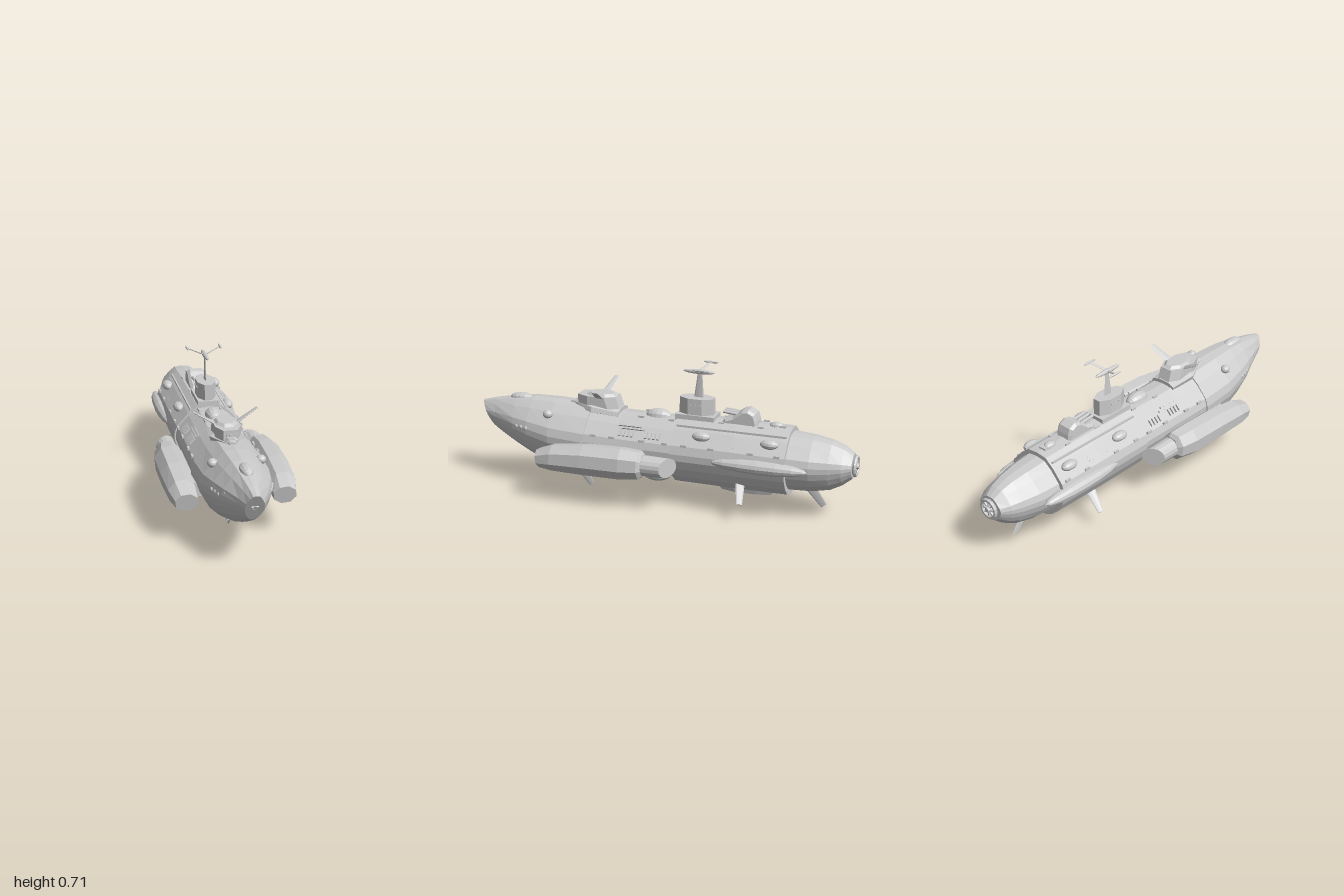
import * as THREE from 'three';

const material = new THREE.MeshStandardMaterial({ color: 0xcccccc, flatShading: true });

// Hull cross-section, right half from keel to deck: [fraction of half width, fraction of height]
const HALF = [[0, 0], [0.25, 0.02], [0.47, 0.07], [0.74, 0.19], [0.9, 0.33], [0.99, 0.46], [1, 0.56],
  [0.93, 0.68], [0.6, 0.87], [0.33, 0.98], [0, 1]];
const HULL = [...HALF, ...HALF.slice(1, -1).reverse().map(([x, y]) => [-x, y])];
const OCTAGON = Array.from({ length: 8 }, (_, i) => {
  const a = (i + 0.65) * Math.PI / 4;
  return [Math.cos(a), 0.5 + 0.5 * Math.sin(a)];
});

// Capped loft, front to back; section = [z, half width, bottom, top, slant, centre x]
function loft(shape, sections) {
  const n = shape.length, pos = [], index = [];
  for (const [z, hw, yb, yt, slant = 0, cx = 0] of sections) {
    for (const [u, v] of shape) pos.push(cx + u * hw, yb + v * (yt - yb), z - slant * (1 - v));
  }
  for (let i = 0; i < sections.length - 1; i++) {
    for (let j = 0; j < n; j++) {
      const a = i * n + j, b = i * n + (j + 1) % n, c = b + n, d = a + n;
      index.push(a, d, b, b, d, c);
    }
  }
  const last = (sections.length - 1) * n;
  for (let j = 1; j < n - 1; j++) index.push(0, j, j + 1, last, last + j + 1, last + j);
  const g = new THREE.BufferGeometry();
  g.setAttribute('position', new THREE.Float32BufferAttribute(pos, 3));
  g.setIndex(index);
  const flat = g.toNonIndexed();
  flat.computeVertexNormals();
  return flat;
}

export function createModel() {
  const model = new THREE.Group();
  model.name = 'submarineCruiser';

  const add = (name, geometry, x = 0, y = 0, z = 0, rotZ = 0, parent = model) => {
    const mesh = new THREE.Mesh(geometry, material);
    mesh.name = name;
    mesh.position.set(x, y, z);
    mesh.rotation.z = rotZ;
    parent.add(mesh);
    return mesh;
  };
  const box = (name, w, h, d, ...at) => add(name, new THREE.BoxGeometry(w, h, d), ...at);
  const dome = (name, rx, ry, rz, ...at) =>
    add(name, new THREE.SphereGeometry(1, 12, 8).rotateX(Math.PI / 2).scale(rx, ry, rz), ...at);
  // Tapered spar between two points, thin in x and wide in z
  const spar = (name, from, to, thick, chord, taper = 0.6) => {
    const a = new THREE.Vector3(...from), dir = new THREE.Vector3(...to).sub(a);
    const g = new THREE.CylinderGeometry(taper, 1, dir.length(), 8).scale(thick, 1, chord);
    const mesh = add(name, g);
    mesh.position.copy(a).addScaledVector(dir, 0.5);
    mesh.quaternion.setFromUnitVectors(new THREE.Vector3(0, 1, 0), dir.normalize());
    return mesh;
  };

  // Main hull in four stepped sections
  add('bowHull', loft(HULL, [
    [1, 0.045, 0.25, 0.397, 0.08], [0.93, 0.068, 0.22, 0.415, 0.06], [0.8, 0.115, 0.175, 0.437, 0.02],
    [0.7, 0.143, 0.138, 0.447], [0.57, 0.169, 0.097, 0.448], [0.37, 0.178, 0.09, 0.438]]));
  add('midHull', loft(HULL, [[0.38, 0.172, 0.11, 0.43], [0.2, 0.17, 0.11, 0.42], [-0.1, 0.17, 0.11, 0.42]]));
  add('rearHull', loft(HULL, [[-0.09, 0.177, 0.09, 0.435], [-0.4, 0.178, 0.088, 0.437], [-0.67, 0.175, 0.09, 0.43]]));
  add('tailHull', loft(HULL, [
    [-0.66, 0.153, 0.117, 0.41], [-0.78, 0.14, 0.122, 0.4], [-0.87, 0.117, 0.14, 0.385],
    [-0.93, 0.098, 0.172, 0.363], [-0.975, 0.07, 0.21, 0.333]]));

  // Stern nozzle with radial vanes
  add('sternRing', new THREE.TorusGeometry(0.045, 0.01, 6, 16), 0, 0.272, -0.985);
  add('sternHub', new THREE.CylinderGeometry(0.02, 0.012, 0.04, 10).rotateX(Math.PI / 2), 0, 0.272, -0.98);
  for (let i = 0; i < 8; i++) {
    const a = i * Math.PI / 4;
    box('sternVane', 0.03, 0.006, 0.02, 0.03 * Math.cos(a), 0.272 + 0.03 * Math.sin(a), -0.98, a);
  }

  // Nose port and bow blister
  const port = add('nosePort', new THREE.TorusGeometry(0.017, 0.003, 5, 3), 0, 0.325, 0.962);
  port.rotation.set(0.5, 0, -Math.PI / 2, 'XYZ');
  dome('bowBlister', 0.033, 0.027, 0.065, 0, 0.43, 0.78);

  // Command bridge
  add('bridgeBase', loft(OCTAGON.map(([x, y]) => [x, y]), [[0.47, 0.03, 0.4, 0.465], [0.36, 0.09, 0.4, 0.462], [0.22, 0.075, 0.39, 0.44]]));
  const plan = new THREE.Shape([[-0.035, -0.45], [0.035, -0.45], [0.062, -0.39], [0.062, -0.27], [0.035, -0.215],
    [-0.035, -0.215], [-0.062, -0.27], [-0.062, -0.39]].map(p => new THREE.Vector2(...p)));
  const bridge = new THREE.ExtrudeGeometry(plan, { depth: 0.09, bevelEnabled: false }).rotateX(-Math.PI / 2);
  const bp = bridge.attributes.position;
  for (let i = 0; i < bp.count; i++) { // rake the rear wall forward towards the roof
    if (bp.getY(i) > 0.05 && bp.getZ(i) < 0.3) bp.setZ(i, bp.getZ(i) + 0.03);
  }
  bridge.computeVertexNormals();
  add('bridge', bridge, 0, 0.405, 0);
  add('bridgeRoof', new THREE.CylinderGeometry(0.045, 0.058, 0.014, 8).rotateY(Math.PI / 8).scale(1, 1, 1.5), 0, 0.501, 0.33);
  for (let i = -2; i <= 2; i++) box('bridgeWindow', 0.011, 0.009, 0.006, i * 0.014, 0.472, 0.45);
  add('bridgeProw', loft(OCTAGON, [[0.5, 0.018, 0.43, 0.455], [0.44, 0.03, 0.425, 0.462]]));

  // Radar tower, mast and aerials
  const tower = new THREE.CylinderGeometry(1, 1, 0.13, 8).rotateY(Math.PI / 8).scale(0.05, 1, 0.094);
  add('radarTower', tower, 0, 0.47, -0.178);
  box('towerFoot', 0.11, 0.03, 0.2, 0, 0.438, -0.18);
  for (const x of [-0.047, 0.047]) for (let i = -1; i <= 1; i++) box('towerWindow', 0.005, 0.008, 0.014, x, 0.505, -0.178 + i * 0.026);
  spar('mast', [0, 0.53, -0.185], [0, 0.665, -0.19], 0.004, 0.025, 0.45);
  dome('aerialPod', 0.013, 0.012, 0.083, 0, 0.665, -0.185);

  // Aft turret with three barrels
  const turret = new THREE.Shape([[0.31, 0.42], [0.33, 0.45], [0.37, 0.462], [0.42, 0.5], [0.45, 0.506], [0.485, 0.487],
    [0.495, 0.455], [0.5, 0.42]].map(p => new THREE.Vector2(...p)));
  add('turret', new THREE.ExtrudeGeometry(turret, { depth: 0.066, bevelSize: 0.012, bevelThickness: 0.014, bevelOffset: -0.012, bevelSegments: 1 })
    .translate(0, 0, -0.033).rotateY(Math.PI / 2));
  for (const x of [-0.025, 0, 0.025]) {
    const barrel = add('turretBarrel', new THREE.CylinderGeometry(0.008, 0.008, 0.1, 8), x, 0.478, -0.37);
    barrel.rotation.x = Math.PI / 2 - 0.1;
  }

  // Deck and keel fittings on the centre line
  dome('deckDome', 0.04, 0.038, 0.068, 0, 0.415, 0.025);
  dome('aftDeckDome', 0.024, 0.022, 0.035, 0, 0.43, -0.585);
  box('deckHatch', 0.04, 0.015, 0.03, 0, 0.43, -0.62);
  dome('bellyDome', 0.06, 0.04, 0.08, 0, 0.11, 0.035);
  add('bellyPlate', new THREE.CylinderGeometry(1, 0.75, 0.04, 8).rotateY(Math.PI / 8).scale(0.045, 1, 0.18), 0, 0.09, -0.44);
  box('keelPlate', 0.08, 0.02, 0.2, 0, 0.095, 0.46);
  spar('bowKeelFin', [0, 0.1, 0.47], [0, 0.0, 0.395], 0.003, 0.027);
  spar('sternKeelFin', [0, 0.14, -0.76], [0, 0.045, -0.835], 0.003, 0.027);

  // Everything mirrored to both sides
  for (const s of [1, -1]) {
    const side = s > 0 ? 'left' : 'right';

    // Engine pod with obliquely cut nozzle
    add(side + 'EnginePod', loft(OCTAGON, [
      [0.592, 0.058, 0.155, 0.25, 0.02, s * 0.235], [0.5, 0.069, 0.148, 0.288, 0, s * 0.243],
      [0.33, 0.074, 0.146, 0.31, 0, s * 0.246], [0.13, 0.073, 0.147, 0.315, 0, s * 0.246],
      [0.04, 0.066, 0.155, 0.305, 0, s * 0.236], [0.025, 0.05, 0.17, 0.285, 0, s * 0.23]]));
    const nozzle = new THREE.CylinderGeometry(0.053, 0.049, 0.18, 16).rotateX(Math.PI / 2);
    const np = nozzle.attributes.position;
    for (let i = 0; i < np.count; i++) if (np.getZ(i) < 0) np.setZ(i, np.getZ(i) + s * np.getX(i) * 0.6);
    nozzle.computeVertexNormals();
    add(side + 'EngineNozzle', nozzle, s * 0.226, 0.226, -0.01);
    box(side + 'PodPylon', 0.1, 0.07, 0.42, s * 0.16, 0.22, 0.27);

    // Long flank blister and shoulder domes
    dome(side + 'FlankBlister', 0.042, 0.036, 0.245, s * 0.167, 0.267, -0.54);
    for (const z of [-0.24, -0.585]) {
      dome(side + 'ShoulderDome', 0.028, 0.024, 0.046, s * 0.128, 0.375, z);
    }
    dome(side + 'BowDome', 0.025, 0.022, 0.026, s * 0.115, 0.395, 0.585);
    for (let i = 0; i < 3; i++) dome(side + 'Porthole', 0.007, 0.012, 0.01, s * (0.122 + i * 0.01), 0.313, 0.76 - i * 0.03);

    // Shoulder details: frac runs from the flank edge (0) up to the deck edge (1)
    const shoulder = (name, frac, z, w, h, d) =>
      box(side + name, w, h, d, s * (0.161 - 0.057 * frac), 0.322 + 0.061 * frac, z, -s * 0.8);
    for (const z0 of [0.12, -0.02, -0.36, -0.46]) {
      for (let i = 0; i < 4; i++) shoulder('Vent', 0.45, z0 + i * 0.022, 0.034, 0.012, 0.013);
    }
    for (const z of [0.14, -0.38]) {
      shoulder('UpperRail', 0.95, z, 0.008, 0.012, 0.12);
      shoulder('LowerRail', 0.78, z - 0.02, 0.008, 0.012, 0.12);
    }
    for (const z of [0.32, 0.22, 0.06, -0.06, -0.16, -0.3, -0.5, -0.63]) {
      box(side + 'FlankHatch', 0.01, 0.012, 0.03, s * 0.162, 0.327, z);
    }
    for (const z of [0.3, 0.1, -0.06, -0.32, -0.52]) box(side + 'DeckCleat', 0.008, 0.01, 0.03, s * 0.055, z > -0.09 ? 0.417 : 0.43, z);
    box(side + 'BowCleat', 0.012, 0.012, 0.025, s * 0.1, 0.337, 0.8);
    box(side + 'DeckWalkway', 0.008, 0.01, 0.56, s * 0.09, 0.406, -0.38);

    // Fins and radar arms
    spar(side + 'BridgeFin', [s * 0.05, 0.488, 0.33], [s * 0.158, 0.55, 0.31], 0.005, 0.024);
    spar(side + 'LowerFin', [s * 0.12, 0.155, -0.44], [s * 0.213, 0.08, -0.465], 0.005, 0.024);
    spar(side + 'RadarArm', [0, 0.665, -0.185], [s * 0.085, 0.695, -0.22], 0.003, 0.008, 0.7);
    dome(side + 'RadarTip', 0.0065, 0.006, 0.04, s * 0.085, 0.695, -0.22);
  }
  return model;
}
